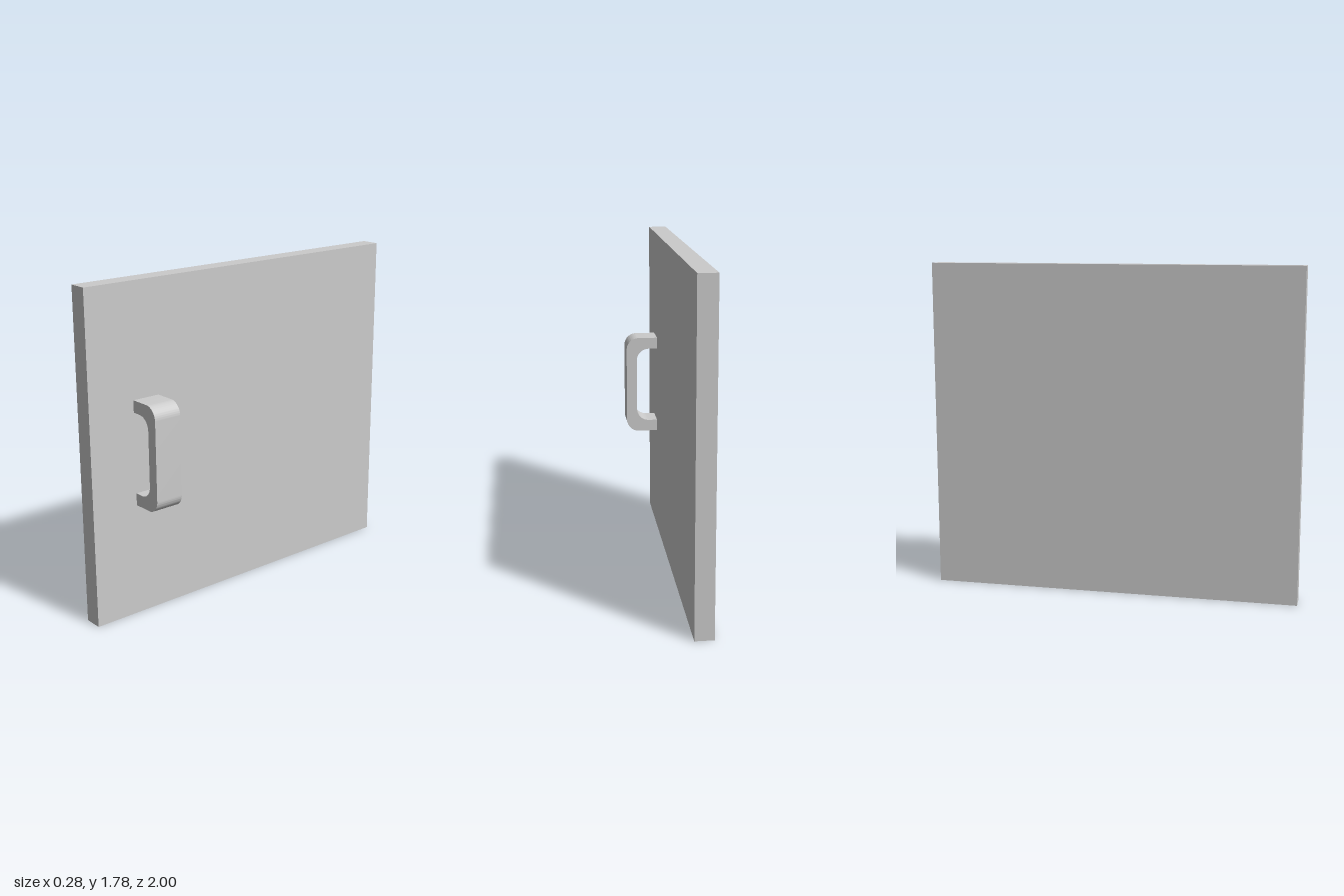
import * as THREE from 'three';
import { toCreasedNormals } from 'three/addons/utils/BufferGeometryUtils.js';

const material = new THREE.MeshStandardMaterial({ color: 0xcccccc });

// Panel and handle extents
const PANEL = { left: -0.14, right: -0.04, height: 1.78, depth: 2 };
const HANDLE = { out: 0.14, bottom: 0.61, top: 1.175, back: 0.58, front: 0.735, thick: 0.06, legThick: 0.065, radius: 0.07 };

function createPanel() {
  const width = PANEL.right - PANEL.left;
  const panel = new THREE.Mesh(new THREE.BoxGeometry(width, PANEL.height, PANEL.depth), material);
  panel.name = 'doorPanel';
  panel.position.set((PANEL.left + PANEL.right) / 2, PANEL.height / 2, 0);
  return panel;
}

// C-shaped pull with rounded outer and inner corners, extruded along z
function createHandle() {
  const { out, bottom, top, back, front, thick, legThick, radius: r } = HANDLE;
  const root = PANEL.right;
  const inX = out - thick, inBottom = bottom + legThick, inTop = top - legThick;

  const profile = new THREE.Shape();
  profile.moveTo(root, bottom);
  profile.lineTo(out - r, bottom);
  profile.absarc(out - r, bottom + r, r, -Math.PI / 2, 0, false);
  profile.absarc(out - r, top - r, r, 0, Math.PI / 2, false);
  profile.lineTo(root, top);
  profile.lineTo(root, inTop);
  profile.absarc(inX - r, inTop - r, r, Math.PI / 2, 0, true);
  profile.absarc(inX - r, inBottom + r, r, 0, -Math.PI / 2, true);
  profile.lineTo(root, inBottom);
  profile.closePath();

  const geometry = new THREE.ExtrudeGeometry(profile, { depth: front - back, bevelEnabled: false, curveSegments: 16 });
  const handle = new THREE.Mesh(toCreasedNormals(geometry, Math.PI / 6), material);
  handle.name = 'pullHandle';
  handle.position.z = back;
  return handle;
}

export function createModel() {
  const model = new THREE.Group();
  model.name = 'cabinetDoor';
  model.add(createPanel(), createHandle());
  return model;
}
